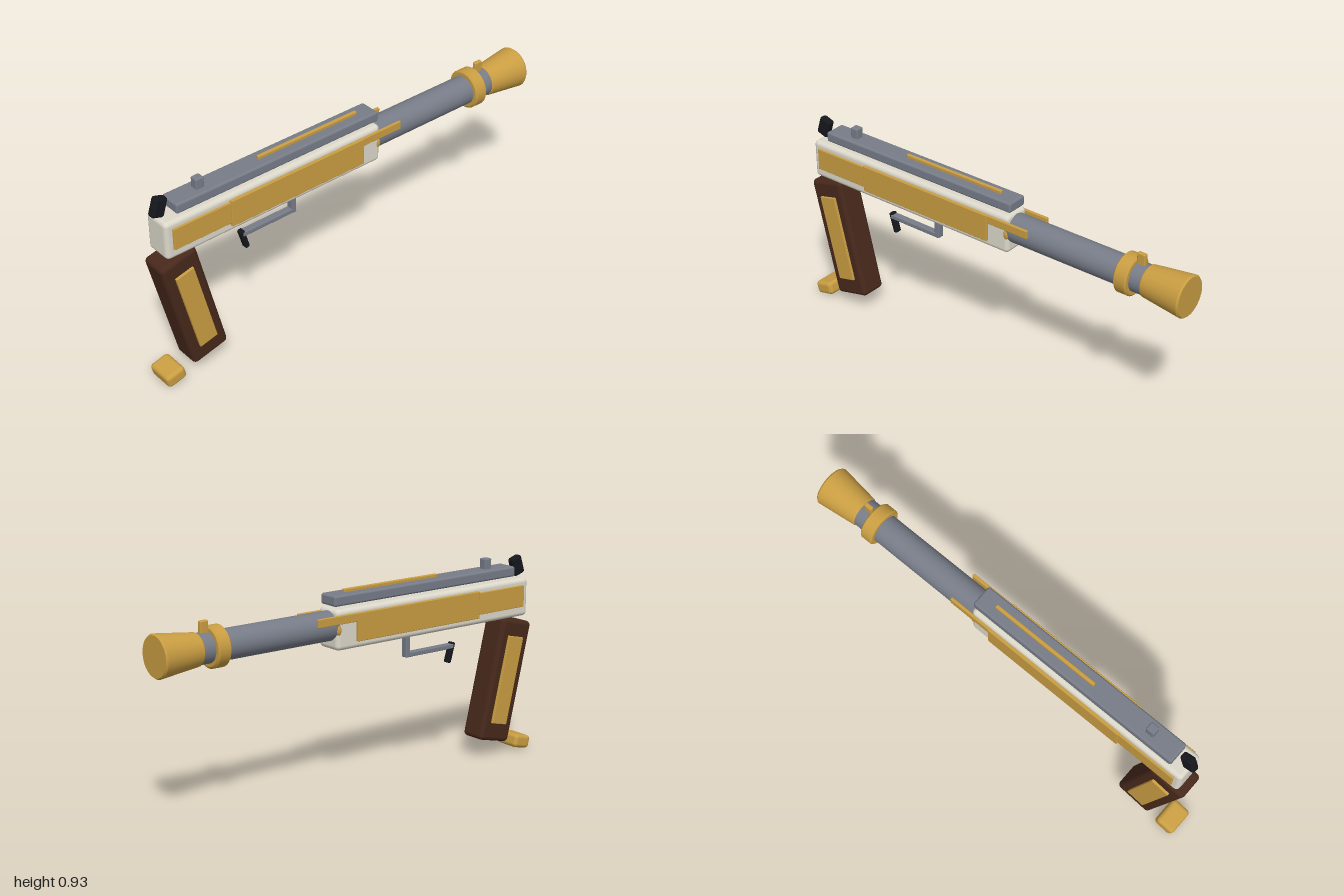
import * as THREE from 'three';
import { RoundedBoxGeometry } from 'three/addons/geometries/RoundedBoxGeometry.js';

const mat = (color) => new THREE.MeshStandardMaterial({ color });

export function createModel() {
  const model = new THREE.Group();
  const gold = mat(0xc99d42), wood = mat(0x47281b), steel = mat(0x777c88);
  const cream = mat(0xdcd8ca), black = mat(0x16171d);
  const BORE = 0.75;      // height of the barrel axis
  const RAKE = 0.235;     // lean of the grip

  function add(name, geometry, material, x, y, z, tilt = 0) {
    const mesh = new THREE.Mesh(geometry, material);
    mesh.name = name;
    mesh.position.set(x, y, z);
    mesh.rotation.x = tilt;
    model.add(mesh);
    return mesh;
  }

  // Rounded block given by its half width and its y and z ranges
  function block(name, material, halfW, y0, y1, z0, z1, radius, x = 0) {
    const geo = new RoundedBoxGeometry(halfW * 2, y1 - y0, z1 - z0, 3, radius);
    return add(name, geo, material, x, (y0 + y1) / 2, (z0 + z1) / 2);
  }

  // Turned part along the bore; sharp corners come from doubled profile points
  function turned(name, material, profile) {
    const pts = [];
    profile.forEach(([r, z], i) => {
      pts.push(new THREE.Vector2(r, z));
      if (i > 0 && i < profile.length - 1) pts.push(new THREE.Vector2(r, z));
    });
    const geo = new THREE.LatheGeometry(pts, 40);
    geo.rotateX(-Math.PI / 2); // profile height runs towards -z
    return add(name, geo, material, 0, BORE, 0);
  }

  // Receiver, top slide and sights
  block('receiver', cream, 0.065, 0.648, 0.825, -0.147, 0.957, 0.02);
  block('slide', steel, 0.05, 0.836, 0.883, -0.147, 0.888, 0.01);
  block('slideInlay', gold, 0.008, 0.876, 0.897, -0.065, 0.454, 0.004);
  block('rearSight', steel, 0.019, 0.875, 0.93, 0.73, 0.77, 0.006);
  add('hammer', new RoundedBoxGeometry(0.038, 0.088, 0.06, 3, 0.012), black, 0, 0.874, 0.941, -0.31);

  // Barrel, collar and flared muzzle
  turned('barrel', steel, [[0, 0.1], [0.065, 0.1], [0.065, 0.82], [0, 0.82]]);
  turned('collar', gold, [
    [0, 0.69], [0.08, 0.69], [0.088, 0.697], [0.088, 0.746], [0.08, 0.753], [0, 0.753],
  ]);
  block('frontSight', gold, 0.01, 0.8, 0.864, -0.79, -0.75, 0.006);
  turned('muzzle', gold, [
    [0, 0.805], [0.066, 0.805], [0.07, 0.81], [0.092, 0.992], [0.086, 1], [0, 1],
  ]);

  // Side plates with a forward tongue, and a small pin, on both sides
  for (const side of [-1, 1]) {
    const label = side > 0 ? 'left' : 'right';
    block(label + 'RearPlate', gold, 0.007, 0.695, 0.795, 0.6, 0.925, 0.003, side * 0.067);
    block(label + 'SidePlate', gold, 0.008, 0.68, 0.803, -0.045, 0.647, 0.003, side * 0.071);
    block(label + 'PlateTongue', gold, 0.007, 0.766, 0.803, -0.253, 0.0, 0.003, side * 0.069);
    const pin = add(label + 'Pin', new THREE.SphereGeometry(0.02, 20, 12), gold, side * 0.06, 0.738, -0.136);
    pin.scale.set(0.5, 1.1, 0.6);
  }

  // Raked grip with inlaid panels and a separate foot
  add('grip', new RoundedBoxGeometry(0.126, 0.57, 0.18, 4, 0.02), wood, 0, 0.356, 0.837, RAKE);
  for (const side of [-1, 1]) {
    add(side > 0 ? 'leftGripPanel' : 'rightGripPanel',
      new RoundedBoxGeometry(0.016, 0.41, 0.09, 2, 0.003), gold, side * 0.066, 0.36, 0.837, RAKE);
  }
  add('gripFoot', new RoundedBoxGeometry(0.13, 0.062, 0.095, 4, 0.018), gold, 0, 0.042, 0.952, RAKE);

  // Trigger bracket and trigger
  block('bracketPost', steel, 0.016, 0.546, 0.66, 0.272, 0.296, 0.004);
  block('bracketBar', steel, 0.016, 0.546, 0.567, 0.272, 0.552, 0.004);
  add('trigger', new RoundedBoxGeometry(0.03, 0.095, 0.022, 3, 0.006), black, 0, 0.527, 0.54, 0.28);

  return model;
}
